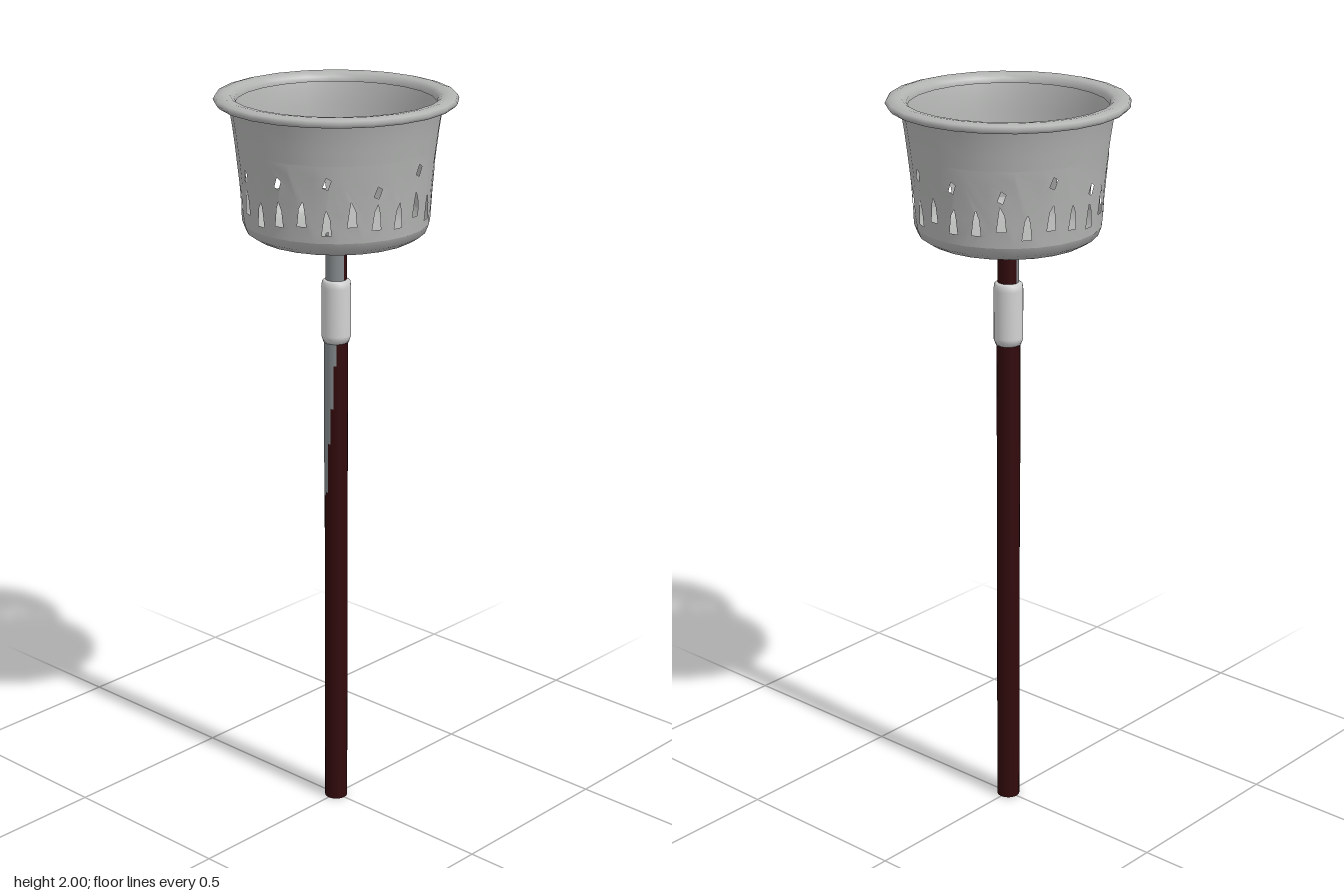
import * as THREE from 'three';
import { mergeGeometries, mergeVertices } from 'three/addons/utils/BufferGeometryUtils.js';

const SIDES = 24;
const STEP = (Math.PI * 2) / SIDES;
const WALL_LOW = 1.67, WALL_HIGH = 1.87;

const material = (name, color, side = THREE.FrontSide) => {
  const m = new THREE.MeshStandardMaterial({ color, side });
  m.name = name;
  return m;
};

// Wall radius widens gently towards the rim
const wallRadius = (y) => {
  const t = (y - WALL_LOW) / (WALL_HIGH - WALL_LOW);
  return 0.243 + 0.005 * t + 0.011 * t * t;
};

const lathe = (points) =>
  new THREE.LatheGeometry(points.map(([r, y]) => new THREE.Vector2(r, y)), SIDES);

// One flat strip of wall with cut holes, bent round the axis
function wallCell(i) {
  const shape = new THREE.Shape();
  const rows = 6;
  const yAt = (k) => WALL_LOW + ((WALL_HIGH - WALL_LOW) * k) / rows;
  shape.moveTo(0, WALL_LOW);
  for (let k = 0; k <= rows; k++) shape.lineTo(STEP, yAt(k));
  for (let k = rows; k > 0; k--) shape.lineTo(0, yAt(k));
  const cut = (points) =>
    shape.holes.push(new THREE.Path(points.map(([u, y]) => new THREE.Vector2(u * STEP, y))));

  // Tall teardrop slot
  const lift = 0.012 * Math.sin(i * 2.4);
  const lean = 0.06 * Math.sin(i * 1.7);
  cut([[0.3, 1.703 + lift], [0.4, 1.75 + lift], [0.5 + lean, 1.768 + lift],
    [0.62, 1.745 + lift], [0.68, 1.703 + lift]]);
  // Small chip above every other slot
  if (i % 2 === 0) {
    const y = 1.805 + 0.02 * Math.sin(i * 1.3);
    cut([[0.35, y], [0.5, y + 0.026], [0.68, y + 0.018], [0.55, y - 0.006]]);
  }

  const geometry = new THREE.ShapeGeometry(shape);
  const p = geometry.attributes.position;
  for (let v = 0; v < p.count; v++) {
    const a = i * STEP + p.getX(v), y = p.getY(v), r = wallRadius(y);
    p.setXYZ(v, Math.sin(a) * r, y, Math.cos(a) * r);
  }
  geometry.deleteAttribute('normal');
  geometry.deleteAttribute('uv');
  return geometry;
}

export function createModel() {
  const model = new THREE.Group();
  const metal = material('bowlMetal', 0xb2b4b2, THREE.DoubleSide);
  const wood = material('darkRedWood', 0x320a0c);
  const pale = material('paleCollar', 0xd2d2d2);
  const worn = material('wornGrey', 0x858a8c, THREE.DoubleSide);

  const add = (name, geometry, mat, parent = model) => {
    const mesh = new THREE.Mesh(geometry, mat);
    mesh.name = name;
    parent.add(mesh);
    return mesh;
  };
  const tube = (name, r, low, high, mat, start = 0, count = SIDES, open = false) => {
    const g = new THREE.CylinderGeometry(r, r, high - low, count, 1, open, start, count * STEP);
    return add(name, g.translate(0, (low + high) / 2, 0), mat);
  };

  // Pole and collar
  tube('pole', 0.031, 0, 1.36, wood);
  add('collar', lathe([[0, 1.34], [0.034, 1.34], [0.039, 1.355], [0.039, 1.36], [0.039, 1.49],
    [0.037, 1.505], [0.031, 1.51], [0, 1.51]]), pale);

  // Neck, worn on its front half
  tube('neckFront', 0.028, 1.5, 1.63, worn, -Math.PI / 2, SIDES / 2, true);
  tube('neckBack', 0.028, 1.5, 1.63, wood, Math.PI / 2, SIDES / 2, true);

  // Ragged worn streak down the front of the pole
  [1.0, 0.91, 0.92, 1.06, 1.16, 1.28].forEach((low, i) =>
    tube('wornStreak' + (i + 1), 0.0325, low, 1.35, worn, (i - 3) * STEP, 1, true));

  // Bowl
  const bowl = new THREE.Group();
  bowl.name = 'bowl';
  model.add(bowl);
  add('bowlBase', lathe([[0, 1.615], [0.1, 1.618], [0.17, 1.623], [0.21, 1.632],
    [0.234, 1.647], [0.243, WALL_LOW]]), metal, bowl);

  const cells = [];
  for (let i = 0; i < SIDES; i++) cells.push(wallCell(i));
  const wall = mergeVertices(mergeGeometries(cells), 1e-4);
  wall.computeVertexNormals();
  add('piercedWall', wall, metal, bowl);

  add('flaredWall', lathe([[wallRadius(WALL_HIGH), WALL_HIGH], [0.264, 1.91],
    [0.27, 1.95], [0.278, 1.982]]), metal, bowl);
  add('rim', lathe([[0.258, 1.975], [0.29, 1.974], [0.306, 1.977], [0.313, 1.986], [0.308, 1.995],
    [0.29, 2], [0.27, 1.997], [0.259, 1.988], [0.258, 1.975]]), metal, bowl);

  return model;
}
